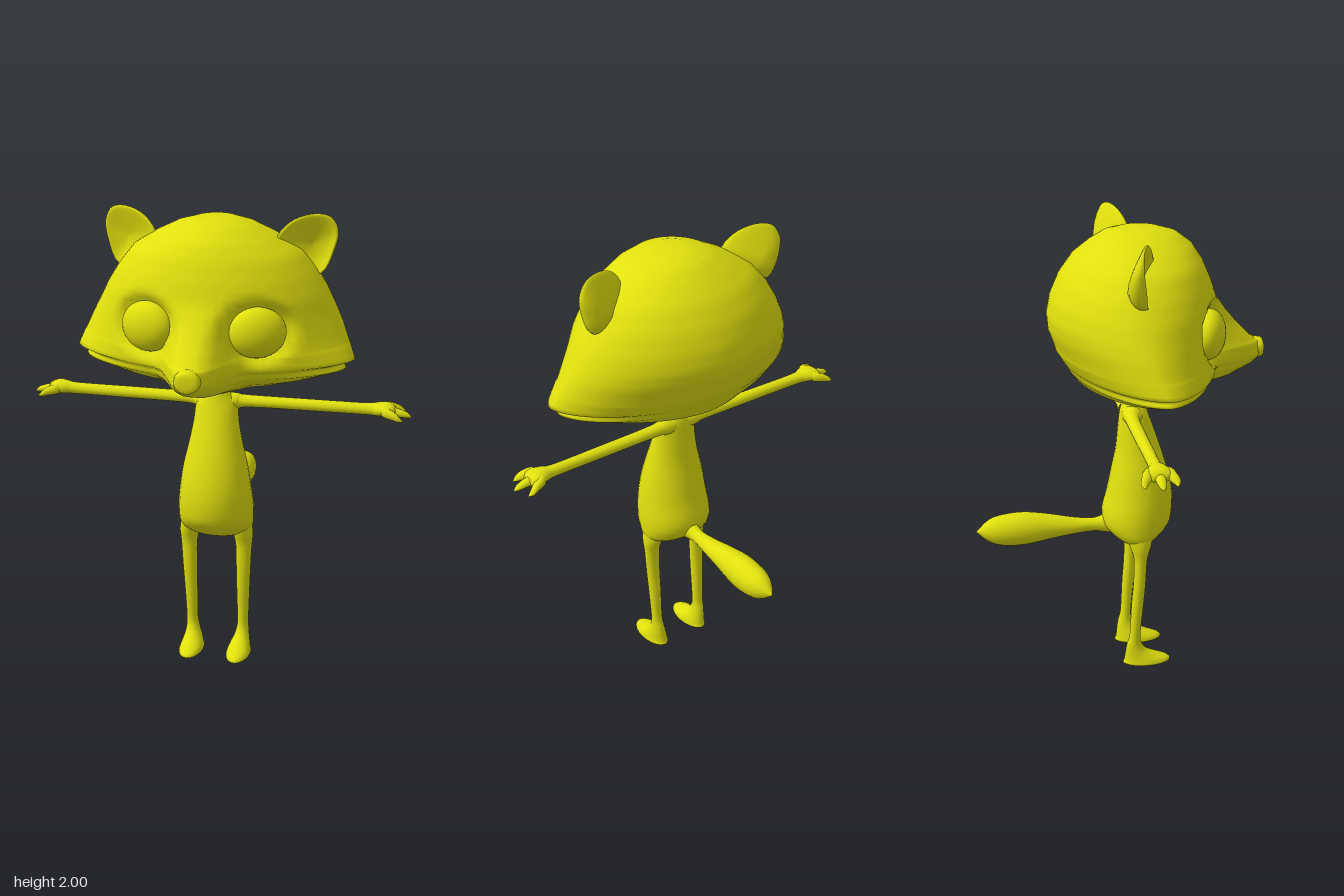
import * as THREE from 'three';

// Skin a list of rings (arrays of [x, y, z]) into one smooth closed surface
function skin(rings) {
  const n = rings[0].length, index = [];
  for (let i = 0; i < rings.length - 1; i++) {
    for (let j = 0; j < n; j++) {
      const k = (j + 1) % n;
      const a = i * n + j, b = i * n + k, c = a + n, d = b + n;
      index.push(a, b, c, b, d, c);
    }
  }
  const geo = new THREE.BufferGeometry();
  geo.setAttribute('position', new THREE.Float32BufferAttribute(rings.flat(2), 3));
  geo.setIndex(index);
  geo.computeVertexNormals();
  return geo;
}

// Resample rows of numbers, either smoothly or along straight segments
function resample(keys, sub, smooth = true) {
  const Type = smooth ? THREE.CubicInterpolant : THREE.LinearInterpolant;
  const f = new Type(keys.map((_, i) => i), keys.flat(), keys[0].length);
  const rows = [];
  for (let i = 0; i <= (keys.length - 1) * sub; i++) rows.push(Array.from(f.evaluate(i / sub)));
  return rows;
}

// Elliptical loft; each key is [position on axis, centre u, centre v, radius u, radius v]
const place = {
  y: (t, u, v, ru, rv, s, c) => [u + ru * s, t, v + rv * c],
  x: (t, u, v, ru, rv, s, c) => [t, u + ru * c, v + rv * s],
  back: (t, u, v, ru, rv, s, c) => [u + ru * s, v + rv * c, t],
};
function loft(axis, keys, sub = 3, n = 20) {
  return skin(resample(keys, sub).map(([t, u, v, ru, rv]) =>
    Array.from({ length: n }, (_, j) => {
      const a = (j / n) * Math.PI * 2;
      return place[axis](t, u, v, Math.max(ru, 0), Math.max(rv, 0), Math.sin(a), Math.cos(a));
    })));
}

function mirrored(geo) {
  const g = geo.clone().scale(-1, 1, 1);
  const ix = g.index.array;
  for (let i = 0; i < ix.length; i += 3) [ix[i], ix[i + 1]] = [ix[i + 1], ix[i]];
  g.computeVertexNormals();
  return g;
}

// Head: horizontal rings with wide cheeks, a snout bulge and two eye sockets
function headGeometry() {
  // y, half width, z of widest point, front z, back z, snout length
  const keys = [
    [1.25, 0, 0.07, 0.07, 0.07, 0],
    [1.255, 0.08, 0.07, 0.13, 0, 0],
    [1.28, 0.2, 0.07, 0.2, -0.06, 0.04],
    [1.31, 0.34, 0.09, 0.28, -0.13, 0.1],
    [1.34, 0.44, 0.1, 0.34, -0.18, 0.16],
    [1.38, 0.555, 0.11, 0.39, -0.21, 0.19],
    [1.405, 0.54, 0.11, 0.4, -0.225, 0.21],
    [1.42, 0.59, 0.11, 0.41, -0.235, 0.21],
    [1.47, 0.57, 0.09, 0.42, -0.265, 0.19],
    [1.49, 0.56, 0.08, 0.42, -0.27, 0.16],
    [1.56, 0.53, 0.06, 0.42, -0.295, 0.09],
    [1.62, 0.5, 0.05, 0.42, -0.3, 0.04],
    [1.69, 0.465, 0.05, 0.412, -0.285, 0],
    [1.77, 0.415, 0.05, 0.385, -0.25, 0],
    [1.85, 0.35, 0.06, 0.35, -0.195, 0],
    [1.91, 0.255, 0.07, 0.31, -0.13, 0],
    [1.955, 0.165, 0.08, 0.25, -0.07, 0],
    [1.977, 0.09, 0.09, 0.18, -0.01, 0],
    [1.984, 0, 0.09, 0.09, 0.09, 0],
  ];
  const n = 88, pow = (v, e) => Math.sign(v) * Math.abs(v) ** e;
  return skin(resample(keys, 3, false).map(([y, w, zc, zf, zb, snout]) => {
    const e = 2 / (1.65 + 0.35 * THREE.MathUtils.smoothstep(y, 1.42, 1.85));
    return Array.from({ length: n }, (_, j) => {
      const a = (j / n) * Math.PI * 2;
      const x = w * pow(Math.sin(a), e), c = pow(Math.cos(a), e);
      let z = zc + c * (c > 0 ? zf - zc : zc - zb);
      if (c > 0) {
        z += snout * (1 - THREE.MathUtils.smoothstep(Math.abs(x), 0.03, 0.19));
        const r = Math.hypot((Math.abs(x) - 0.225) / 0.118, (y - 1.575) / 0.105);
        z -= 0.045 * (1 - THREE.MathUtils.smoothstep(r, 0.8, 1.4));
      }
      return [x, y, z];
    });
  }));
}

// Ear: rounded outline, dished in front and bulging behind, turned a little inward
function earGeometry() {
  const outline = new THREE.CatmullRomCurve3([
    [0.25, 1.89], [0.3, 1.965], [0.39, 1.998], [0.46, 1.985], [0.492, 1.93],
    [0.48, 1.85], [0.43, 1.75], [0.33, 1.77],
  ].map(([x, y]) => new THREE.Vector3(x, y, 0)), true).getPoints(32).slice(0, 32);
  const cx = 0.39, cy = 1.87, rings = [];
  const ring = (s, depth) => rings.push(outline.map((p) => {
    const x = cx + (p.x - cx) * s, y = cy + (p.y - cy) * s;
    const taper = THREE.MathUtils.clamp((2.06 - y) / 0.2, 0.3, 1.2);
    return [x, y, 0.04 + (cx - x) * 0.35 + depth * taper];
  }));
  for (const s of [0, 0.3, 0.6, 0.8, 0.9]) ring(s, -0.025 + 0.045 * s * s);
  for (const s of [0.97, 1, 0.97, 0.88, 0.7, 0.5, 0.25, 0]) {
    ring(s, rings.length < 6 ? 0.015 : -0.065 * Math.sqrt(1 - s * s));
  }
  return skin(rings);
}

export function createModel() {
  const model = new THREE.Group();
  const yellow = new THREE.MeshStandardMaterial({ color: 0xe0e00e });
  yellow.name = 'yellow';
  const add = (name, geo) => {
    const mesh = new THREE.Mesh(geo, yellow);
    mesh.name = name;
    model.add(mesh);
  };
  const addPair = (name, geo) => {
    add(`${name}Left`, geo);
    add(`${name}Right`, mirrored(geo));
  };

  add('head', headGeometry());
  addPair('ear', earGeometry());

  // Eyes: flattened balls turned outward in their sockets
  addPair('eye', new THREE.SphereGeometry(1, 28, 18).scale(0.118, 0.104, 0.07)
    .rotateY(0.35).translate(0.225, 1.575, 0.34));

  // Nose: small blunt block on the snout tip
  add('nose', loft('back', [
    [0.632, 0, 1.437, 0, 0], [0.63, 0, 1.437, 0.042, 0.036], [0.615, 0, 1.437, 0.052, 0.045],
    [0.57, 0, 1.437, 0.054, 0.045], [0.54, 0, 1.437, 0, 0],
  ], 2, 16));

  // Body: pear shape from the crotch to the neck
  add('body', loft('y', [
    [0.565, 0, 0.07, 0, 0], [0.572, 0, 0.075, 0.09, 0.045], [0.61, 0, 0.075, 0.155, 0.1],
    [0.66, 0, 0.08, 0.165, 0.145], [0.72, 0, 0.085, 0.164, 0.155], [0.8, 0, 0.095, 0.155, 0.145],
    [0.9, 0, 0.095, 0.14, 0.125], [1, 0, 0.09, 0.117, 0.1], [1.1, 0, 0.078, 0.098, 0.078],
    [1.17, 0, 0.07, 0.09, 0.062], [1.21, 0, 0.07, 0.065, 0.052], [1.24, 0, 0.075, 0.048, 0.042],
    [1.29, 0, 0.075, 0.06, 0.05],
  ], 3, 28));

  // Arms with a flat palm
  addPair('arm', loft('x', [
    [0.03, 1.175, 0.06, 0.045, 0.05], [0.085, 1.178, 0.05, 0.036, 0.04], [0.13, 1.18, 0.04, 0.026, 0.03],
    [0.4, 1.18, 0.035, 0.025, 0.027], [0.63, 1.18, 0.032, 0.025, 0.026], [0.68, 1.183, 0.032, 0.028, 0.04],
    [0.72, 1.184, 0.03, 0.028, 0.054], [0.75, 1.178, 0.03, 0.022, 0.048], [0.765, 1.172, 0.03, 0, 0],
  ]));

  // Three pointed fingers on each hand: start z, middle z, tip z, tip x
  [[0.005, -0.022, -0.036, 0.8], [0.03, 0.03, 0.03, 0.828], [0.055, 0.082, 0.092, 0.797]]
    .forEach(([z0, z1, z2, tip], i) => addPair(`finger${i + 1}`, loft('x', [
      [0.69, 1.183, z0, 0, 0], [0.71, 1.183, (z0 + z1) / 2, 0.022, 0.022],
      [0.75, 1.175, z1, 0.02, 0.022], [tip - 0.022, 1.164, z2, 0.013, 0.015],
      [tip, 1.153, z2, 0, 0],
    ], 2, 10)));

  // Legs running down into feet that point forward
  addPair('leg', loft('y', [
    [0, 0.108, 0.11, 0, 0], [0.001, 0.108, 0.112, 0.05, 0.1], [0.02, 0.108, 0.112, 0.051, 0.102],
    [0.04, 0.109, 0.09, 0.044, 0.077], [0.065, 0.112, 0.066, 0.035, 0.05],
    [0.1, 0.115, 0.055, 0.028, 0.033], [0.15, 0.117, 0.058, 0.025, 0.024],
    [0.3, 0.119, 0.068, 0.029, 0.027], [0.4, 0.121, 0.076, 0.032, 0.027],
    [0.52, 0.123, 0.08, 0.036, 0.029], [0.58, 0.12, 0.08, 0.044, 0.045],
    [0.64, 0.11, 0.08, 0.046, 0.06],
  ]));

  // Tail: thin at the root, full towards the pointed tip
  add('tail', loft('back', [
    [0.02, 0, 0.67, 0.06, 0.07], [-0.06, 0, 0.657, 0.036, 0.042], [-0.11, 0, 0.653, 0.03, 0.03],
    [-0.2, 0, 0.655, 0.042, 0.037], [-0.3, 0, 0.659, 0.055, 0.055], [-0.41, 0, 0.659, 0.067, 0.073],
    [-0.5, 0, 0.657, 0.065, 0.071], [-0.57, 0, 0.658, 0.045, 0.052], [-0.63, 0, 0.658, 0, 0],
  ]));

  return model;
}
